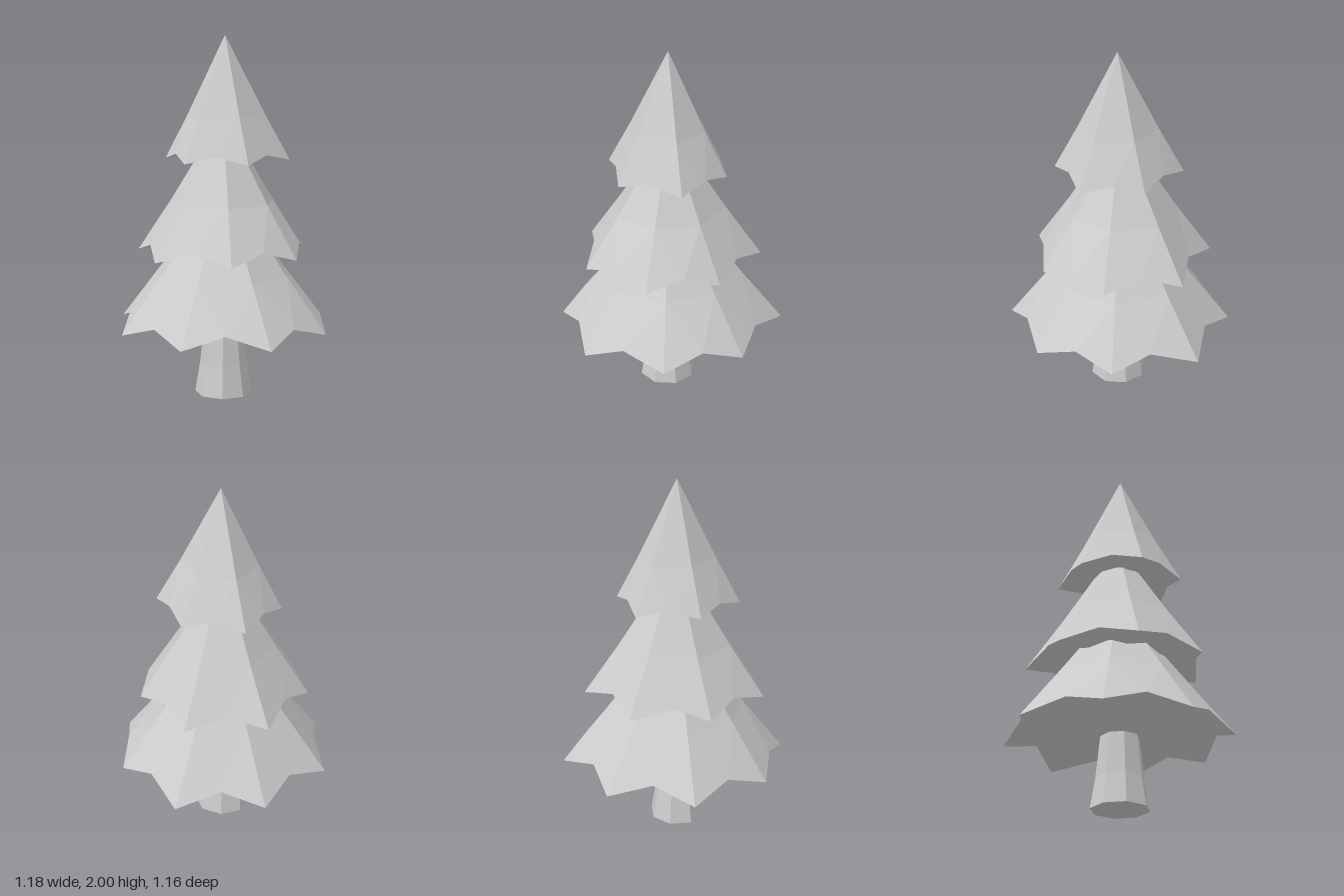
import * as THREE from 'three';

// One foliage tier: faceted pyramid that flares into drooping points, with a hollowed underside.
// tips and valleys are alternating [x, z] rim points, listed from +x towards +z.
function makeTier({ apex, tips, valleys, midY, midScale, tipY, valleyY, underY }) {
  const n = tips.length;
  const cx = tips.reduce((s, p) => s + p[0], 0) / n;
  const cz = tips.reduce((s, p) => s + p[1], 0) / n;
  const top = [cx, apex, cz];
  const under = [cx, underY, cz];
  const ridge = tips.map(([x, z]) => [cx + (x - cx) * midScale, midY, cz + (z - cz) * midScale]);
  const tip = tips.map(([x, z]) => [x, tipY, z]);
  const valley = valleys.map(([x, z]) => [x, valleyY, z]);
  const pos = [];
  const tri = (...corners) => corners.forEach((c) => pos.push(...c));
  for (let i = 0; i < n; i++) {
    const j = (i + 1) % n;
    const mid = ridge[i].map((v, k) => (v + ridge[j][k]) / 2);
    // upper flat face
    tri(top, ridge[j], ridge[i]);
    // flared skirt
    tri(ridge[i], mid, valley[i]);
    tri(ridge[i], valley[i], tip[i]);
    tri(mid, ridge[j], valley[i]);
    tri(ridge[j], tip[j], valley[i]);
    // underside fan
    tri(under, tip[i], valley[i]);
    tri(under, valley[i], tip[j]);
  }
  const geo = new THREE.BufferGeometry();
  geo.setAttribute('position', new THREE.Float32BufferAttribute(pos, 3));
  geo.computeVertexNormals();
  return geo;
}

export function createModel() {
  const tree = new THREE.Group();
  tree.name = 'pineTree';
  const grey = new THREE.MeshStandardMaterial({ color: 0xcccccc, flatShading: true });
  grey.name = 'plainGrey';

  const add = (name, geo) => {
    const mesh = new THREE.Mesh(geo, grey);
    mesh.name = name;
    tree.add(mesh);
    return mesh;
  };

  // eight-sided trunk, wider at the foot
  const profile = [[0, 0], [0.16, 0], [0.132, 0.17], [0.108, 0.4], [0, 0.4]];
  const trunk = add('trunk', new THREE.LatheGeometry(profile.map((p) => new THREE.Vector2(...p)), 8));
  trunk.position.set(0.006, 0, 0.016);

  add('bottomBranches', makeTier({
    apex: 1.2, midY: 0.69, midScale: 0.62, tipY: 0.385, valleyY: 0.455, underY: 0.48,
    tips: [[0.59, 0.225], [0.265, 0.565], [-0.2, 0.58], [-0.57, 0.275],
      [-0.59, -0.21], [-0.27, -0.58], [0.215, -0.555], [0.55, -0.24]],
    valleys: [[0.4, 0.375], [0.03, 0.545], [-0.355, 0.4], [-0.53, 0.03],
      [-0.39, -0.355], [-0.01, -0.53], [0.37, -0.385], [0.545, 0.01]],
  }));

  add('middleBranches', makeTier({
    apex: 1.57, midY: 1.09, midScale: 0.61, tipY: 0.805, valleyY: 0.863, underY: 0.885,
    tips: [[0.39, 0.32], [0, 0.51], [-0.38, 0.31], [-0.5, -0.11],
      [-0.215, -0.46], [0.215, -0.41], [0.465, 0.09 * -1]],
    valleys: [[0.18, 0.39], [-0.185, 0.385], [-0.405, 0.11], [-0.315, -0.26],
      [0, -0.41], [0.335, -0.25], [0.415, 0.11]],
  }));

  add('topBranches', makeTier({
    apex: 2, midY: 1.57, midScale: 0.62, tipY: 1.325, valleyY: 1.363, underY: 1.38,
    tips: [[0.33, 0.14], [0.06, 0.35], [-0.25, 0.215], [-0.325, -0.12], [-0.04, -0.32], [0.29, -0.215]],
    valleys: [[0.185, 0.235], [-0.095, 0.275], [-0.28, 0.05], [-0.175, -0.215], [0.12, -0.265], [0.295, -0.03]],
  }));

  return tree;
}
